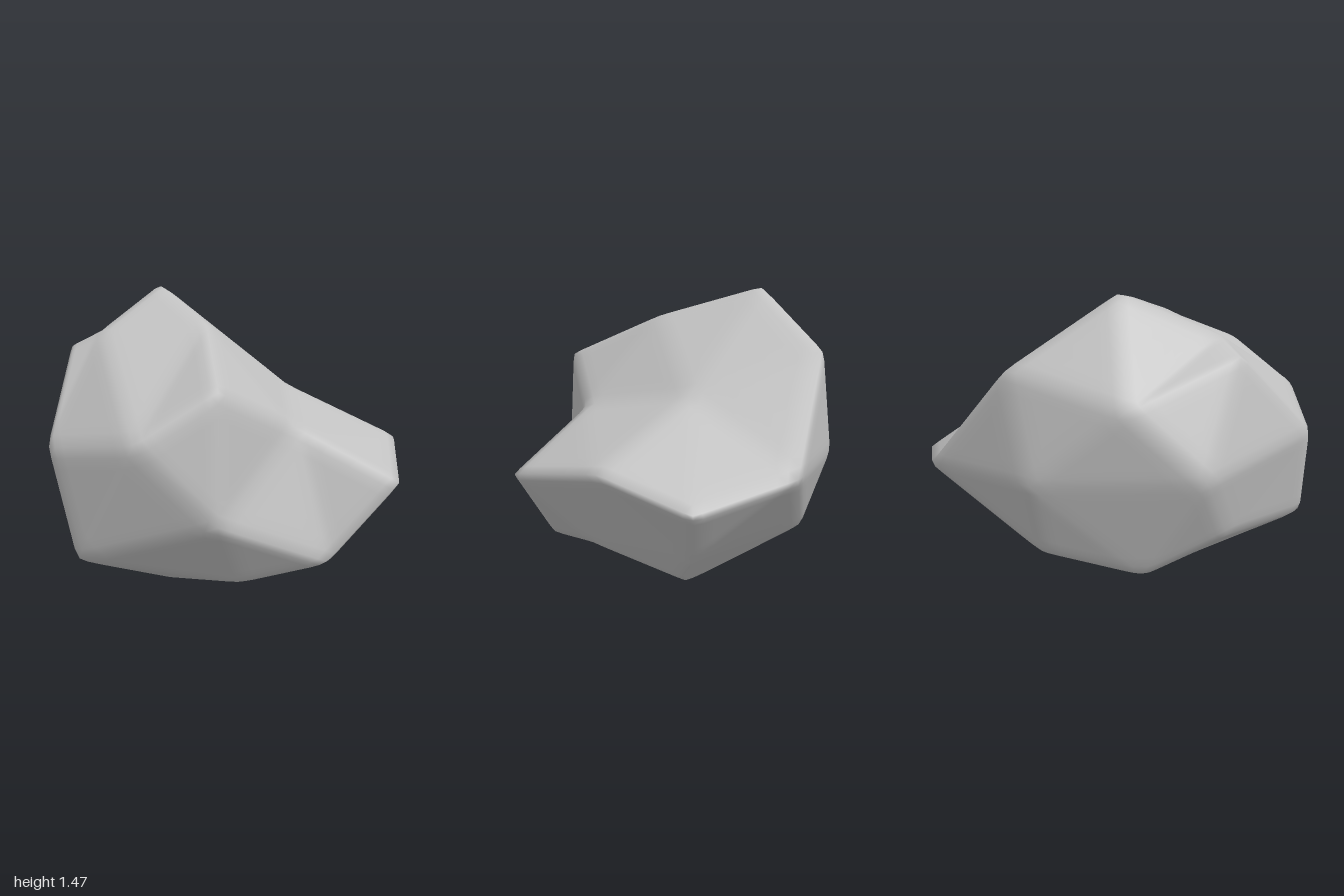
import * as THREE from 'three';
import { ConvexGeometry } from 'three/addons/geometries/ConvexGeometry.js';
import { mergeVertices } from 'three/addons/utils/BufferGeometryUtils.js';

// Corners of the boulder
const upper = [
  [-0.46, 1.49, 0.15], [0.08, 1.34, 0.25], [0.58, 1.12, 0.56], // crown
  [-0.32, 1.295, 0.59], [-0.42, 1.22, 0.7], [-0.78, 1.04, 0.27], [-0.7, 1.17, -0.3],
  [0.43, 0.91, 0.89], [-0.11, 0.81, 1.01], [-0.72, 0.73, 0.61], // front brow
  [0.47, 0.87, 0.03], [0.79, 0.59, -0.38], // notch and shoulder on the left flank
  [-0.05, 0.955, -0.38], [0.37, 0.67, -0.82], [-0.51, 0.63, -0.78], [-0.04, 0.53, -1.02], // sloping back
];
const lower = [
  [0.61, 0.53, 0.59], [0.08, 0.32, 0.99], [0.65, 0.22, -0.04],
  [-0.45, 0.38, 0.67], [-0.59, 0.2, 0.31], [-0.77, 0.66, -0.18], [-0.63, 0.28, -0.17],
  [-0.02, 0, 0.15], [0.28, 0.055, 0.16], [-0.02, 0.055, 0.45], [0.44, 0.16, 0.35], // underside
  [-0.31, 0.1, -0.12], [-0.04, 0.075, -0.44], [0, 0.15, -0.62], [-0.05, 0.28, -0.79],
  [0.42, 0.27, -0.42],
];

const CENTRE = new THREE.Vector3(0, 0.65, 0);
const SEGMENTS = 10;

// Join the corners by hulling their directions on a sphere, so hollows survive
function cornerTriangles(corners) {
  const directions = corners.map((c) => c.clone().sub(CENTRE).normalize());
  const pos = new ConvexGeometry(directions).getAttribute('position');
  const triangles = [];
  const v = new THREE.Vector3();
  for (let i = 0; i < pos.count; i += 3) {
    triangles.push([0, 1, 2].map((k) => {
      v.fromBufferAttribute(pos, i + k);
      let best = 0;
      directions.forEach((w, j) => {
        if (w.distanceToSquared(v) < directions[best].distanceToSquared(v)) best = j;
      });
      return corners[best];
    }));
  }
  return triangles;
}

// Split every triangle into a grid of small ones
function subdivide(triangles) {
  const out = [];
  for (const [a, b, c] of triangles) {
    const put = (i, j) => {
      const u = i / SEGMENTS, w = j / SEGMENTS, t = 1 - u - w;
      out.push(a.x * t + b.x * u + c.x * w, a.y * t + b.y * u + c.y * w, a.z * t + b.z * u + c.z * w);
    };
    for (let i = 0; i < SEGMENTS; i++) {
      for (let j = 0; j < SEGMENTS - i; j++) {
        put(i, j); put(i + 1, j); put(i, j + 1);
        if (i + j < SEGMENTS - 1) { put(i + 1, j); put(i + 1, j + 1); put(i, j + 1); }
      }
    }
  }
  const geo = new THREE.BufferGeometry();
  geo.setAttribute('position', new THREE.Float32BufferAttribute(out, 3));
  return mergeVertices(geo, 1e-4);
}

// Wear the edges down by pulling each vertex towards its neighbours
function wearEdges(geo) {
  const pos = geo.getAttribute('position');
  const idx = geo.index.array;
  const near = Array.from({ length: pos.count }, () => new Set());
  for (let i = 0; i < idx.length; i += 3) {
    for (let k = 0; k < 3; k++) {
      near[idx[i + k]].add(idx[i + (k + 1) % 3]).add(idx[i + (k + 2) % 3]);
    }
  }
  const v = new THREE.Vector3();
  const worn = near.map((set, i) => {
    const mean = new THREE.Vector3();
    set.forEach((n) => mean.add(v.fromBufferAttribute(pos, n)));
    return mean.divideScalar(set.size).lerp(v.fromBufferAttribute(pos, i), 0.5);
  });
  worn.forEach((p, i) => pos.setXYZ(i, p.x, p.y, p.z));
}

export function createModel() {
  const group = new THREE.Group();
  group.name = 'rock';
  const stone = new THREE.MeshStandardMaterial({ color: 0xc2c2c2 });
  stone.name = 'stone grey';

  const corners = [...upper, ...lower].map((c) => new THREE.Vector3(...c));
  const geo = subdivide(cornerTriangles(corners));
  wearEdges(geo);
  geo.computeVertexNormals();

  const boulder = new THREE.Mesh(geo, stone);
  boulder.name = 'boulder';
  group.add(boulder);
  return group;
}
